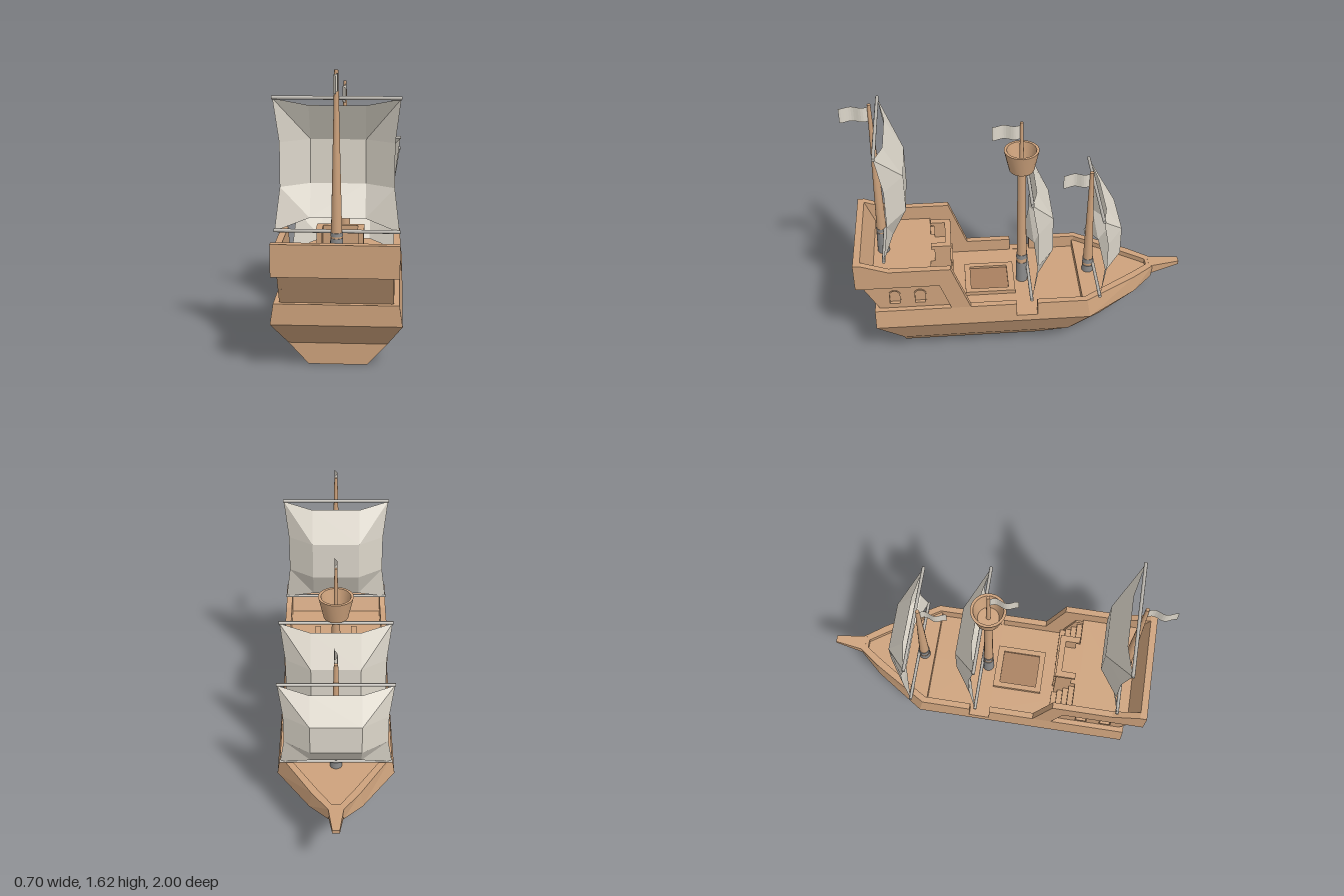
import * as THREE from 'three';
import { toCreasedNormals } from 'three/addons/utils/BufferGeometryUtils.js';

const mat = (color, extra = {}) => new THREE.MeshStandardMaterial({ color, ...extra });

export function createModel() {
  const ship = new THREE.Group();
  ship.name = 'sailingShip';
  const wood = mat(0xcda27c, { flatShading: true });
  const roundWood = mat(0xcda27c, { side: THREE.DoubleSide });
  const darkWood = mat(0xa9805f, { flatShading: true });
  const metal = mat(0x8c8c8c);
  const spar = mat(0xb9b5ae);
  const cloth = mat(0xdcd6ca, { side: THREE.DoubleSide, flatShading: true });

  const add = (name, geo, material, parent = ship) => {
    const m = new THREE.Mesh(geo, material);
    m.name = name;
    parent.add(m);
    return m;
  };
  // Box given by its limits
  const box = (name, x0, x1, y0, y1, z0, z1, material = wood) => {
    const m = add(name, new THREE.BoxGeometry(x1 - x0, y1 - y0, z1 - z0), material);
    m.position.set((x0 + x1) / 2, (y0 + y1) / 2, (z0 + z1) / 2);
    return m;
  };
  // Side profile in (z, y), extruded between two x values
  const slab = (name, pts, x0, x1, holes = [], material = wood) => {
    const shape = new THREE.Shape(pts.map(p => new THREE.Vector2(...p)));
    shape.holes.push(...holes);
    const geo = new THREE.ExtrudeGeometry(shape, { depth: x1 - x0, bevelEnabled: false, curveSegments: 8 });
    geo.rotateY(-Math.PI / 2).translate(x1, 0, 0);
    return add(name, geo, material);
  };
  const rod = (name, r0, r1, y0, y1, z, material, parent = ship, sides = 16) => {
    const m = add(name, new THREE.CylinderGeometry(r1, r0, y1 - y0, sides), material, parent);
    m.position.set(0, (y0 + y1) / 2, z);
    return m;
  };

  // Hull: sections from keel to rail, over the rail and across the deck
  const DECK = 0.315, RAIL = 0.397;
  const section = (xs, zs, rail = RAIL, chine = 0.28, inset = 0.037, dz = 0) => [
    [0, 0, zs[0]], [xs[0], 0, zs[0]], [xs[1], 0.122, zs[1]], [xs[2], chine, zs[2]],
    [xs[3], rail, zs[3]], [xs[3] - inset, rail, zs[3] + dz],
    [xs[3] - inset, DECK, zs[3] + dz], [0, DECK, zs[3] + dz]];
  const full = [0.16, 0.27, 0.35, 0.332];
  const notch = [0.16, 0.27, 0.35, 0.344];
  const at = z => [z, z, z, z];
  const stations = [
    section(full, [0.735, 0.735, 0.89, 0.89]),
    section(full, at(0.045)), section(notch, at(0.045), DECK + 0.002, 0.28, 0.049),
    section(notch, at(-0.08), DECK + 0.002, 0.28, 0.049), section(full, at(-0.08)),
    section(full, [-0.095, -0.28, -0.4, -0.38], RAIL, 0.28, 0.037, 0.01),
    section([0.1, 0.15, 0.155, 0.14], [-0.22, -0.49, -0.7, -0.7], RAIL, 0.295, 0.04, 0.02),
    section([0.035, 0.04, 0.045, 0.045], [-0.275, -0.58, -0.825, -0.83], RAIL, 0.318, 0.02, 0.04)];
  const tri = [];
  const quad = (a, b, c, d) => tri.push(...a, ...b, ...c, ...a, ...c, ...d);
  const flip = ([x, y, z]) => [-x, y, z];
  for (let j = 0; j < stations.length - 1; j++) {
    const A = stations[j], B = stations[j + 1];
    for (let i = 0; i < A.length - 1; i++) {
      quad(A[i], B[i], B[i + 1], A[i + 1]);
      quad(flip(A[i + 1]), flip(B[i + 1]), flip(B[i]), flip(A[i]));
    }
  }
  const stern = stations[0], bow = stations[stations.length - 1];
  for (let i = 1; i < 4; i++) quad(flip(stern[i]), stern[i], stern[i + 1], flip(stern[i + 1]));
  for (let i = 1; i < 6; i++) quad(bow[i], flip(bow[i]), flip(bow[i + 1]), bow[i + 1]);
  const hullGeo = new THREE.BufferGeometry();
  hullGeo.setAttribute('position', new THREE.Float32BufferAttribute(tri, 3));
  hullGeo.computeVertexNormals();
  add('hull', hullGeo, wood);

  // Raised foredeck and tapering bowsprit
  const fore = new THREE.Shape([[-0.3, 0.36], [0.3, 0.36], [0.3, 0.38], [0.1, 0.685], [0.027, 0.79],
    [-0.027, 0.79], [-0.1, 0.685], [-0.3, 0.38]].map(p => new THREE.Vector2(...p)));
  const foreGeo = new THREE.ExtrudeGeometry(fore, { depth: 0.05, bevelEnabled: false });
  add('foredeck', foreGeo.rotateX(-Math.PI / 2), wood).position.y = 0.315;
  const sprit = new THREE.BoxGeometry(1, 1, 1);
  const sp = sprit.attributes.position;
  for (let i = 0; i < sp.count; i++) {
    const tip = sp.getZ(i) < 0, up = sp.getY(i) > 0;
    sp.setXYZ(i, Math.sign(sp.getX(i)) * (tip ? 0.021 : 0.047),
      tip ? (up ? 0.405 : 0.382) : (up ? 0.398 : 0.335), tip ? -1 : -0.81);
  }
  sprit.computeVertexNormals();
  add('bowsprit', sprit, wood);

  // Cargo hatch
  for (const s of [-1, 1]) {
    box('hatchSide', s * 0.121 - 0.016, s * 0.121 + 0.016, DECK, 0.34, 0.04, 0.345);
    box('hatchEnd', -0.105, 0.105, DECK, 0.34, s < 0 ? 0.04 : 0.31, s < 0 ? 0.08 : 0.345);
  }
  box('hatchCover', -0.105, 0.105, DECK, 0.325, 0.08, 0.31, darkWood);

  // Stern cabin
  const arch = (z, r, grow = 0) => {
    const p = new THREE.Path();
    p.moveTo(z - r, 0.425 - grow);
    p.lineTo(z + r, 0.425 - grow);
    p.lineTo(z + r, 0.495);
    p.absarc(z, 0.495, r, 0, Math.PI, false);
    p.lineTo(z - r, 0.425 - grow);
    return p;
  };
  box('sternLedge', -0.325, 0.325, DECK, 0.396, 0.56, 0.889);
  slab('cabinCore', [[0.96, 0.576], [0.86, 0.395], [0.56, 0.395], [0.56, 0.576]], -0.285, 0.285);
  box('poopDeck', -0.296, 0.296, 0.575, 0.6, 0.55, 0.97);
  slab('sternRail', [[0.99, 0.575], [0.99, 0.75], [0.95, 0.75], [0.89, 0.6], [0.89, 0.575]], -0.296, 0.296);
  for (const s of [-1, 1]) {
    const span = (a, b) => s > 0 ? [a, b] : [-b, -a];
    slab('cabinSideFrame', [[0.99, 0.575], [0.99, 0.75], [0.95, 0.75], [0.79, 0.693], [0.43, 0.693],
      [0.32, 0.395], [0.435, 0.395], [0.5, 0.575]], ...span(0.295, 0.332));
    slab('cabinWall', [[0.96, 0.575], [0.86, 0.395], [0.435, 0.395], [0.5, 0.575]], ...span(0.284, 0.302),
      [arch(0.768, 0.037), arch(0.618, 0.037)]);
    for (const z of [0.768, 0.618]) {
      const frame = arch(z, 0.037).getPoints(8).map(p => [p.x, p.y]);
      slab('windowFrame', frame, ...span(0.284, 0.306), [arch(z, 0.03, -0.007)]);
    }
    // Stairs up to the poop deck
    for (let k = 0; k < 5; k++) {
      box('stairStep', ...span(0.127, 0.296), DECK, DECK + 0.057 * (k + 1), 0.415 + 0.033 * k, 0.57);
    }
    box('balconySide', ...span(0.1, 0.13), DECK, 0.69, 0.45, 0.52);
    box('balconySideCap', ...span(0.097, 0.133), 0.69, 0.71, 0.45, 0.54);
    box('doorPost', ...span(0.06, 0.075), DECK, 0.54, 0.415, 0.425);
  }
  // Cabin front with door and balcony
  box('cabinFront', -0.13, 0.13, DECK, 0.6, 0.425, 0.57);
  box('balconyFront', -0.13, 0.13, 0.6, 0.69, 0.425, 0.45);
  box('balconyFrontCap', -0.133, 0.133, 0.69, 0.71, 0.42, 0.455);
  box('doorLintel', -0.085, 0.085, 0.54, 0.555, 0.413, 0.425);
  box('door', -0.06, 0.06, DECK, 0.54, 0.42, 0.426, darkWood);
  for (const y of [0.36, 0.46]) box('doorPanel', -0.04, 0.04, y, y + 0.06, 0.417, 0.421);

  // Square sail bellying towards the bow
  const sailGeo = (rows, z) => {
    const pos = [], idx = [];
    rows.forEach((y, r) => {
      const end = r === 0 || r === 3;
      const innerY = y + (r === 0 ? -0.04 : r === 3 ? 0.06 : 0);
      const innerZ = z - (r === 0 ? 0.04 : r === 3 ? 0.055 : 0.14);
      const ex = end ? 0.328 : 0.3, ez = end ? z : z - 0.035;
      pos.push(-ex, y, ez, -0.147, innerY, innerZ, 0.147, innerY, innerZ, ex, y, ez);
    });
    for (let r = 0; r < 3; r++) for (let c = 0; c < 3; c++) {
      const a = r * 4 + c;
      if (c === 0) idx.push(a, a + 1, a + 5, a, a + 5, a + 4);
      else idx.push(a, a + 1, a + 4, a + 1, a + 5, a + 4);
    }
    const g = new THREE.BufferGeometry();
    g.setAttribute('position', new THREE.Float32BufferAttribute(pos, 3));
    g.setIndex(idx);
    g.computeVertexNormals();
    return g;
  };

  // Masts with collars, yards, sail and flag
  const masts = [
    { name: 'aftMast', z: 0.83, y0: 0.6, y1: 1.62, r0: 0.033, r1: 0.01, collar: [0.6, 0.745], band: [0.755, 0.775],
      rows: [1.47, 1.237, 1.0, 0.77], sailZ: 0.808, flagY: 1.515 },
    { name: 'mainMast', z: -0.01, y0: DECK, y1: 1.15, r0: 0.032, r1: 0.024, collar: [DECK, 0.46], band: [0.49, 0.52],
      rows: [1.118, 0.885, 0.65, 0.418], sailZ: -0.045, flagY: 1.355 },
    { name: 'foreMast', z: -0.425, y0: 0.36, y1: 1.1, r0: 0.033, r1: 0.012, collar: [0.36, 0.41], band: [0.43, 0.46],
      rows: [0.978, 0.788, 0.605, 0.418], sailZ: -0.455, flagY: 1.0 }];
  for (const m of masts) {
    const g = new THREE.Group();
    g.name = m.name;
    ship.add(g);
    rod('mastPole', m.r0, m.r1, m.y0, m.y1, m.z, roundWood, g);
    const rAt = y => m.r0 + (m.r1 - m.r0) * (y - m.y0) / (m.y1 - m.y0) + 0.003;
    for (const [a, b] of [m.collar, m.band]) rod('mastCollar', rAt(a), rAt(b), a, b, m.z, metal, g);
    for (const y of [m.rows[0], m.rows[3]]) {
      const yard = rod('yard', 0.01, 0.01, -0.332, 0.332, m.sailZ, spar, g, 8);
      yard.rotation.z = Math.PI / 2;
      yard.position.y = y + 0.004;
    }
    add('sail', sailGeo(m.rows, m.sailZ), cloth, g);
    const flag = new THREE.PlaneGeometry(0.16, 0.09, 12, 1).rotateY(-Math.PI / 2);
    const p = flag.attributes.position;
    for (let i = 0; i < p.count; i++) p.setX(i, 0.01 * Math.sin((p.getZ(i) + 0.08) * 50));
    flag.computeVertexNormals();
    add('flag', flag, cloth, g).position.set(0, m.flagY + 0.045, m.z + 0.088);
  }

  // Lookout basket and topmast
  const nest = new THREE.LatheGeometry([[0, 1.145], [0.073, 1.145], [0.103, 1.28], [0.087, 1.28], [0.062, 1.17], [0, 1.17]]
    .map(p => new THREE.Vector2(...p)), 20);
  add('lookoutBasket', toCreasedNormals(nest, 0.6), roundWood).position.z = -0.01;
  rod('topmast', 0.014, 0.009, 1.15, 1.465, -0.01, roundWood);

  return ship;
}
